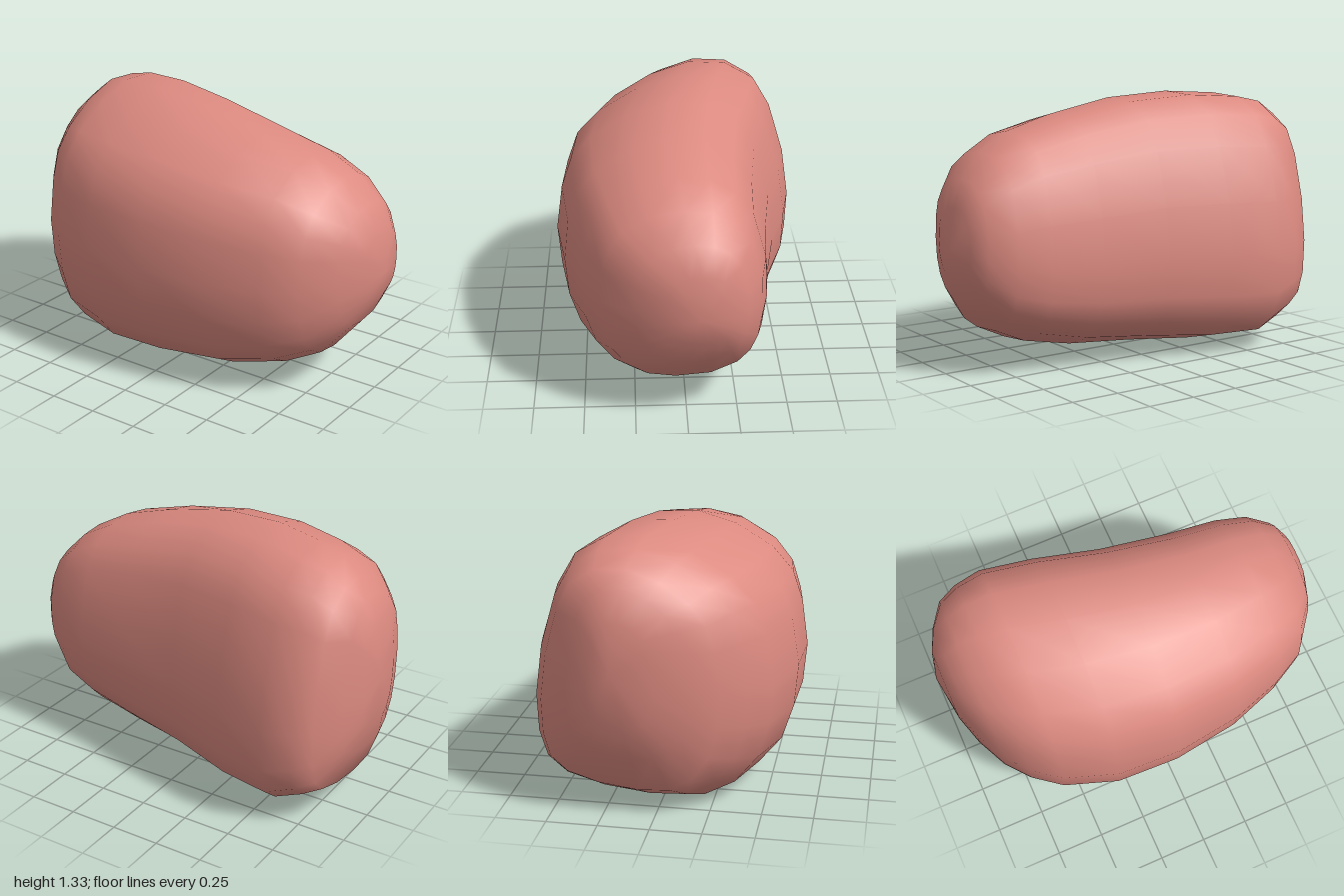
import * as THREE from 'three';

// Cross-section outline (z, y), from the top over the back, under and up the front
const OUTLINE = [
  [-0.02, 1.34], [-0.24, 1.33], [-0.41, 1.24], [-0.51, 1.08], [-0.6, 0.8],
  [-0.64, 0.53], [-0.63, 0.32], [-0.58, 0.18], [-0.46, 0.09], [-0.23, 0.03],
  [0.05, 0], [0.28, 0.01], [0.44, 0.09], [0.56, 0.23], [0.62, 0.41],
  [0.64, 0.63], [0.6, 0.87], [0.54, 1.03], [0.42, 1.15], [0.21, 1.27],
].map(([z, y]) => [z / 0.64, y / 0.67 - 1]);

// Stations along x: x, bottom, top, back, front
const STATIONS = [
  [-0.97, 0.48, 1.0, -0.3, 0.02],
  [-0.92, 0.32, 1.15, -0.41, 0.17],
  [-0.84, 0.13, 1.22, -0.55, 0.31],
  [-0.74, 0.07, 1.29, -0.6, 0.43],
  [-0.6, 0.01, 1.32, -0.635, 0.53],
  [-0.33, 0.005, 1.335, -0.585, 0.625],
  [0, 0.03, 1.31, -0.49, 0.64],
  [0.35, 0.06, 1.24, -0.43, 0.59],
  [0.62, 0.12, 1.17, -0.4, 0.5],
  [0.79, 0.2, 1.08, -0.365, 0.41],
  [0.91, 0.35, 0.96, -0.29, 0.25],
  [0.97, 0.48, 0.83, -0.22, 0.1],
];

function bodyGeometry() {
  const n = OUTLINE.length;
  const positions = [];
  const index = [];

  // Rings: the leaning outline turns into a plain oval towards +x
  for (const [x, bottom, top, back, front] of STATIONS) {
    const blend = THREE.MathUtils.smoothstep(x, -0.4, 1) * 0.8;
    for (const [u, v] of OUTLINE) {
      const r = Math.pow(Math.abs(u) ** 2.5 + Math.abs(v) ** 2.5, 1 / 2.5);
      const z = THREE.MathUtils.lerp(u, u / r, blend);
      const y = THREE.MathUtils.lerp(v, v / r, blend);
      positions.push(x, (top + bottom) / 2 + y * (top - bottom) / 2,
        (front + back) / 2 + z * (front - back) / 2);
    }
  }

  // Skin between the rings
  for (let i = 0; i < STATIONS.length - 1; i++) {
    for (let j = 0; j < n; j++) {
      const a = i * n + j, b = i * n + (j + 1) % n;
      index.push(a, a + n, b, b, a + n, b + n);
    }
  }

  // Blunt tips at both ends
  const tip = positions.length / 3;
  const last = (STATIONS.length - 1) * n;
  positions.push(-1, 0.76, -0.18, 1, 0.62, -0.06);
  for (let j = 0; j < n; j++) {
    const k = (j + 1) % n;
    index.push(tip, j, k, tip + 1, last + k, last + j);
  }

  const geometry = new THREE.BufferGeometry();
  geometry.setAttribute('position', new THREE.Float32BufferAttribute(positions, 3));
  geometry.setIndex(index);
  geometry.computeVertexNormals();
  return geometry;
}

export function createModel() {
  const group = new THREE.Group();
  group.name = 'roundedLump';
  const body = new THREE.Mesh(bodyGeometry(), new THREE.MeshStandardMaterial({ color: 0xdc8a80 }));
  body.name = 'body';
  group.add(body);
  return group;
}
